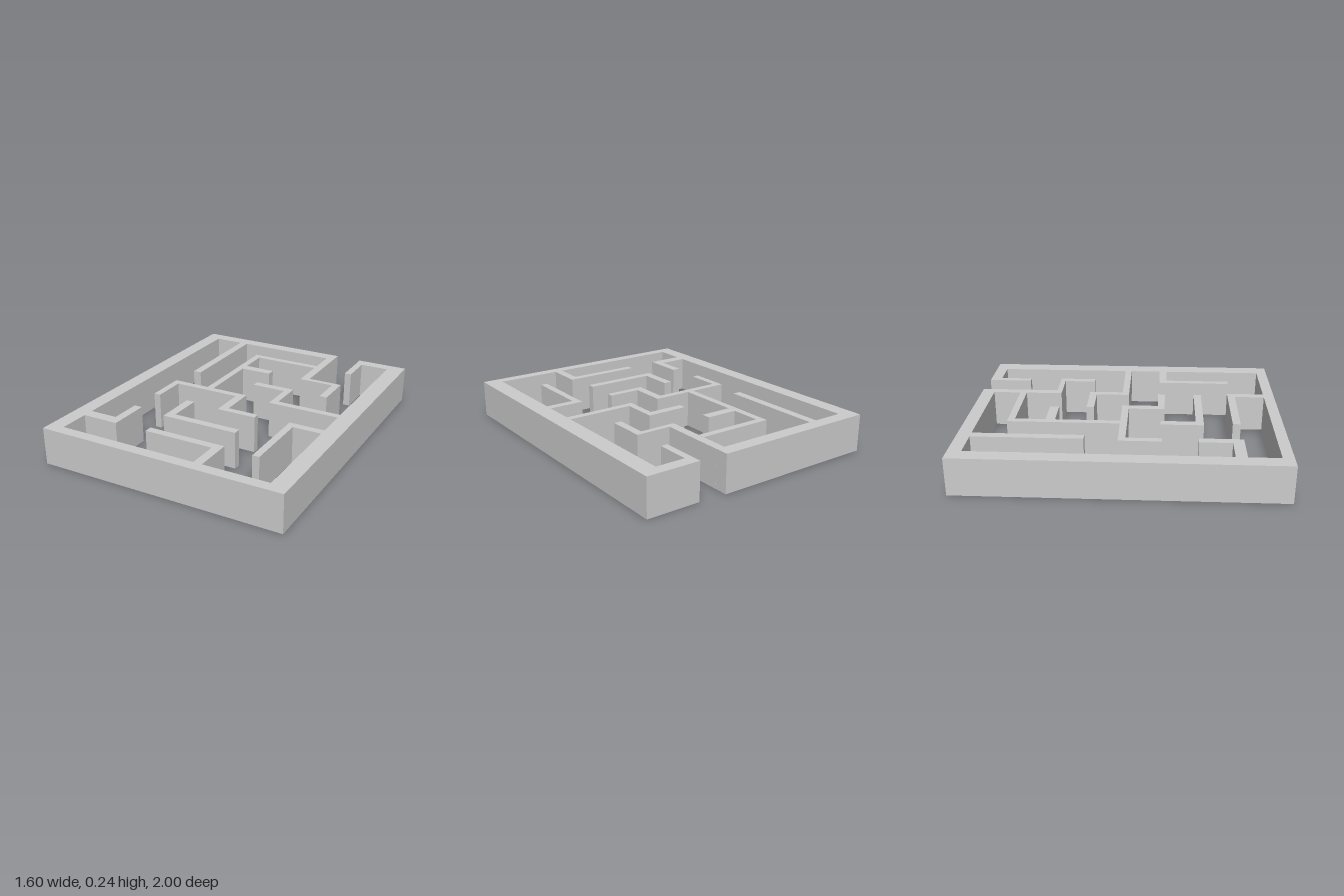
import * as THREE from 'three';

const HEIGHT = 0.24;
const material = new THREE.MeshStandardMaterial({ color: 0xcccccc, flatShading: true });

// Raise a floor-plan outline of [x, z] corners to the full wall height
function raise(name, outline) {
  const shape = new THREE.Shape(outline.map(([x, z]) => new THREE.Vector2(x, -z)));
  const geometry = new THREE.ExtrudeGeometry(shape, { depth: HEIGHT, bevelEnabled: false });
  geometry.rotateX(-Math.PI / 2);
  const mesh = new THREE.Mesh(geometry, material);
  mesh.name = name;
  return mesh;
}

// Wall along a right-angled centre line, with one thickness per straight run
function wall(name, path, widths) {
  const offsets = widths.map((w, i) => {
    const dx = path[i + 1][0] - path[i][0];
    const dz = path[i + 1][1] - path[i][1];
    const k = w / 2 / Math.hypot(dx, dz);
    return [-dz * k, dx * k];
  });
  const side = (sign) => path.map(([x, z], i) => {
    // a corner takes the offsets of both runs that meet there
    const near = [offsets[i - 1], offsets[i]].filter(Boolean);
    return near.reduce((p, o) => [p[0] + sign * o[0], p[1] + sign * o[1]], [x, z]);
  });
  return raise(name, [...side(1), ...side(-1).reverse()]);
}

export function createModel() {
  const maze = new THREE.Group();
  maze.name = 'maze';

  // Outer frame with the opening at the back
  maze.add(raise('outerFrame', [
    [0.28, -1], [-0.8, -1], [-0.8, 1], [0.8, 1], [0.8, -0.99], [0.455, -0.99],
    [0.455, -0.915], [0.69, -0.915], [0.69, 0.93], [-0.7, 0.93], [-0.7, -0.915], [0.28, -0.915],
  ]));

  // Walls growing from the frame
  maze.add(
    wall('openingStub', [[0.478, -0.915], [0.478, -0.7]], [0.045]),
    wall('openingWall', [[0.253, -0.915], [0.253, -0.467], [0.485, -0.467], [0.485, -0.24]], [0.055, 0.035, 0.05]),
    wall('backWall', [[-0.473, -0.915], [-0.473, -0.225]], [0.055]),
    wall('leftStepWall', [[0.69, -0.008], [0.24, -0.008], [0.24, -0.23], [-0.01, -0.23]], [0.045, 0.045, 0.05]),
    wall('leftHookWall', [[0.69, 0.245], [0.483, 0.245], [0.483, 0.705]], [0.05, 0.045]),
    wall('frontHookWall', [[0.243, 0.93], [0.243, 0.71], [-0.24, 0.71]], [0.055, 0.05]),
    wall('rightHookWall', [[-0.7, 0.7], [-0.488, 0.7], [-0.488, 0.465]], [0.07, 0.055]),
  );

  // Inner walls
  maze.add(
    wall('innerCornerWall', [[0.225, -0.712], [-0.242, -0.712], [-0.242, -0.02]], [0.045, 0.045]),
    wall('innerTongue', [[-0.22, -0.465], [-0.01, -0.465]], [0.06]),
    wall('centreWall', [[-0.493, 0.245], [-0.493, 0.002], [0.005, 0.002], [0.005, 0.237], [0.24, 0.237]],
      [0.045, 0.045, 0.055, 0.045]),
    wall('freeCornerWall', [[-0.24, 0.235], [-0.24, 0.48], [0.24, 0.48]], [0.055, 0.05]),
  );
  return maze;
}
